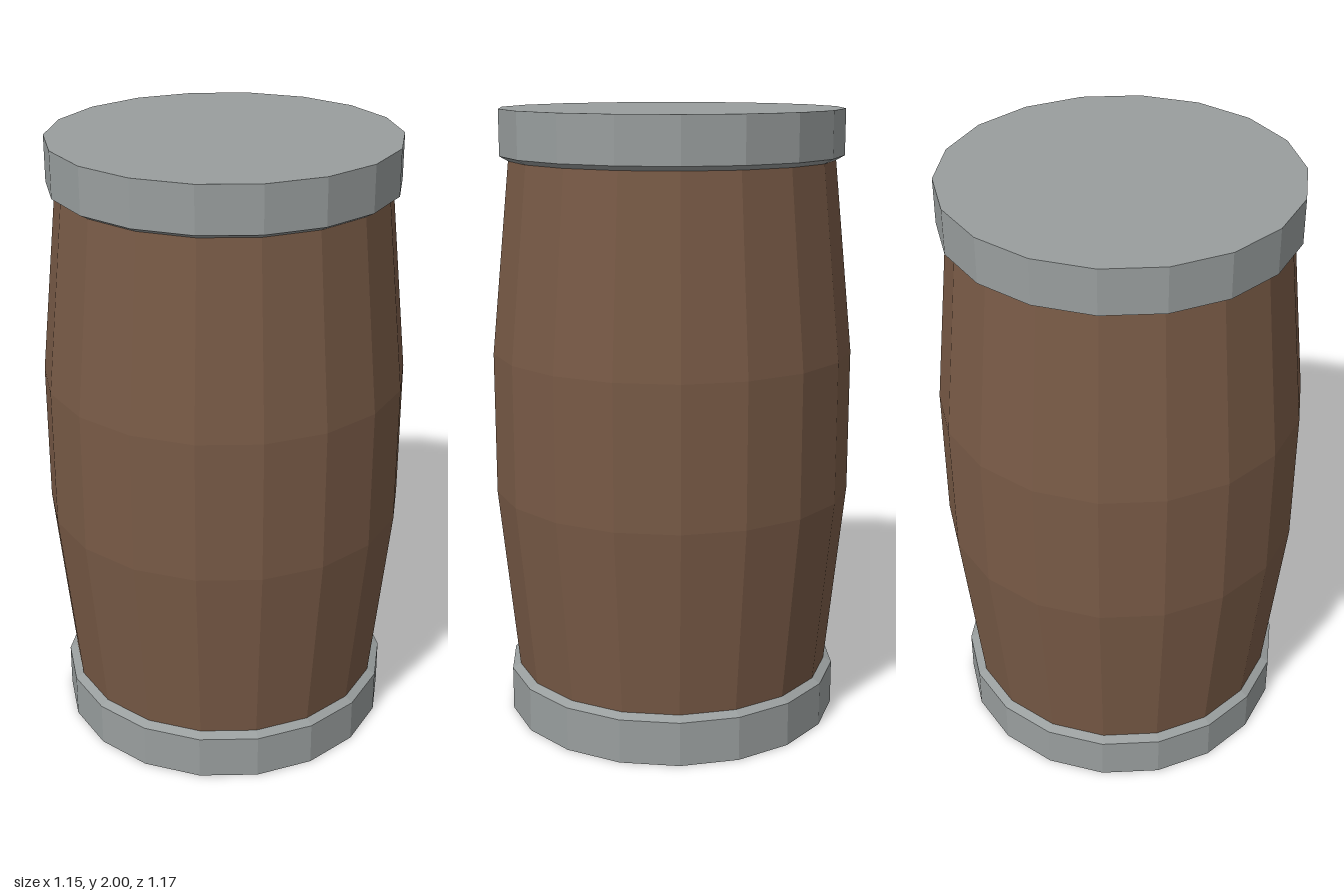
import * as THREE from 'three';

const SIDES = 18;

export function createModel() {
  const group = new THREE.Group();
  const wood = new THREE.MeshStandardMaterial({ name: 'brownWood', color: 0x785a46, flatShading: true });
  const metal = new THREE.MeshStandardMaterial({ name: 'greyMetal', color: 0x999e9e, flatShading: true });

  // Profiles run from bottom to top so faces point outwards
  const addLathe = (name, profile, material) => {
    const points = profile.map(([r, y]) => new THREE.Vector2(r, y));
    const mesh = new THREE.Mesh(new THREE.LatheGeometry(points, SIDES), material);
    mesh.name = name;
    group.add(mesh);
  };

  // Bulging wooden body
  addLathe('barrelBody', [[0.523, 0.16], [0.585, 0.77], [0.585, 1.23], [0.523, 1.84]], wood);

  // Capped metal bands with a slight bevel towards the body
  const cap = [[0, 0], [0.55, 0], [0.55, 0.145], [0.523, 0.16]];
  addLathe('bottomCap', cap, metal);
  addLathe('topCap', cap.map(([r, y]) => [r, 2 - y]).reverse(), metal);

  return group;
}
